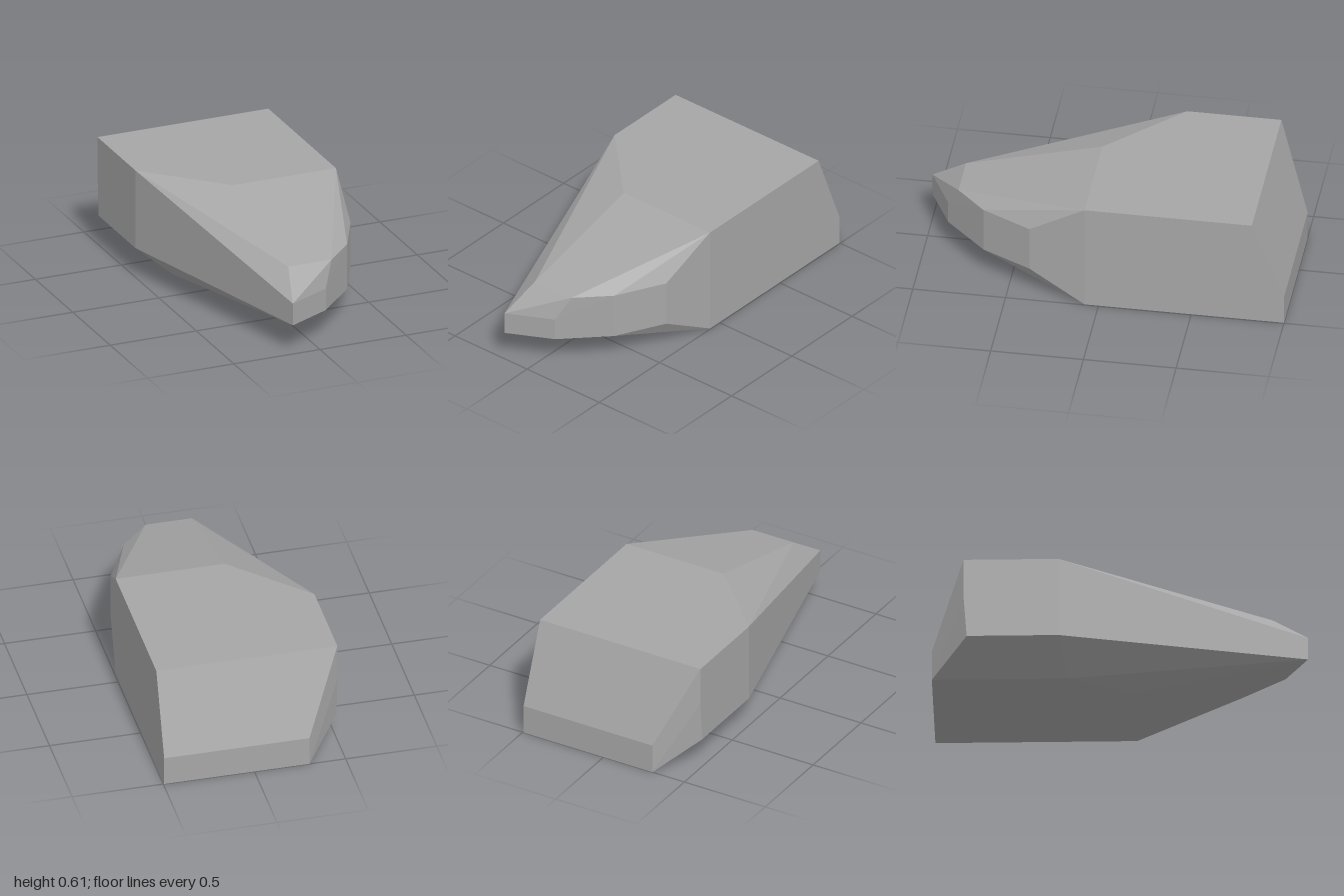
import * as THREE from 'three';
import { ConvexGeometry } from 'three/addons/geometries/ConvexGeometry.js';

// Corners of one horizontal level, given as [x, z] pairs
const level = (y, corners) => corners.map(([x, z]) => new THREE.Vector3(x, y, z));

export function createModel() {
  const group = new THREE.Group();
  group.name = 'rock';
  const stone = new THREE.MeshStandardMaterial({ color: 0xa6a6a6 });
  stone.name = 'stone grey';

  // Stepped right side of the nose, shared by the lower and shoulder levels
  const noseSide = [[0.31, 0.65], [0.447, 0.38]];
  // Blunt tip of the nose
  const tip = [[-0.157, 1], [0.088, 0.875]];
  // Chamfered back corner and square back corner
  const back = [[-0.302, -1], [0.495, -1]];

  const corners = [
    // base
    ...level(0, [...back, [0.495, 0.075], [-0.107, 0.075], [-0.302, -0.28]]),
    // lower rim
    ...level(0.165, [...back, ...tip, ...noseSide, [-0.497, -0.32], [-0.497, -0.81]]),
    // top of the tip
    ...level(0.29, tip),
    // worn back left edge
    ...level(0.4, [[-0.497, -0.827]]),
    // shoulder of the nose
    ...level(0.422, [...noseSide, [0.15, 0.81], [-0.102, 0.81]]),
    // flat top
    ...level(0.612, [[-0.497, -0.827], [0.495, -0.827], [0.495, 0.075], [-0.102, 0.075], [-0.497, -0.32]]),
  ];

  // Flat facets wrapped around the corners
  const boulder = new THREE.Mesh(new ConvexGeometry(corners), stone);
  boulder.name = 'boulder';
  group.add(boulder);
  return group;
}
